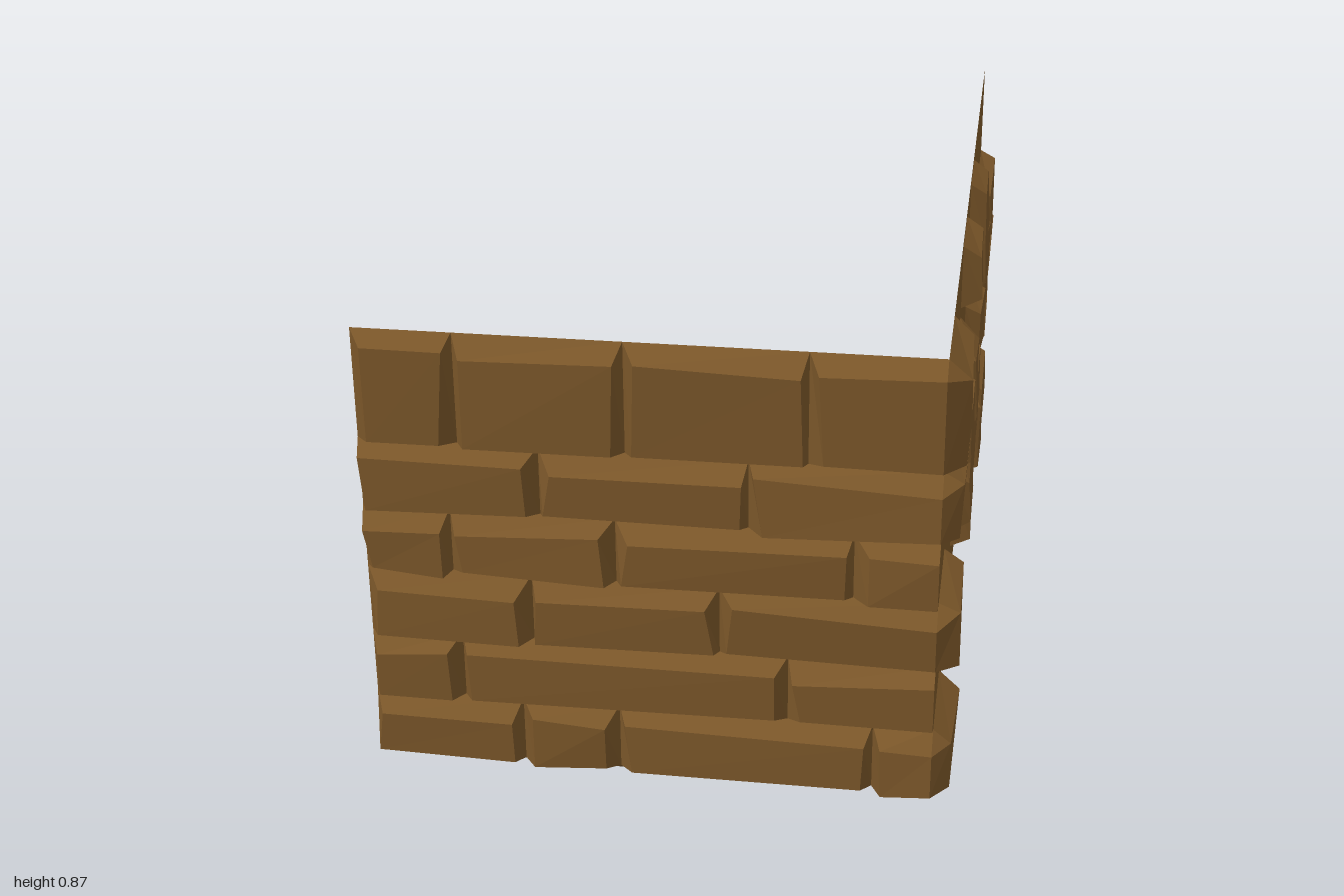
import * as THREE from 'three';

const WALL_X = 0.475, FRONT_Z = 0.95, LEFT = -0.525, TOP = 0.88;

// underside joint line of the vaulted floor: [z, y]
const ARCH = [[-0.25, 0.035], [-0.05, 0.07], [0.15, 0.093], [0.35, 0.108], [0.55, 0.108], [0.75, 0.094], [0.95, 0.066]];
const FLOOR_SPLITS = [[-0.2, 0.17], [-0.32, -0.01], [-0.22, 0.2], [-0.27, 0.07], [-0.31, -0.13, 0.31], [-0.32, 0.07]];

// front wall courses
const COURSES = [0.06, 0.185, 0.31, 0.435, 0.555, 0.68, TOP];
const FRONT_SPLITS = [[-0.255, -0.08, 0.37], [-0.36, 0.22], [-0.23, 0.1], [-0.37, -0.08, 0.33], [-0.21, 0.15], [-0.35, -0.06, 0.25]];
const QUOIN_COURSES = [0, 2, 4, 5];

// single bricks on the side wall: z front, z back, y bottom, y top
const SIDE_BRICKS = [
  [0.35, 0.16, 0.74, 0.87], [-0.05, -0.24, 0.72, 0.87], [0.75, 0.55, 0.58, 0.71], [0.55, 0.35, 0.61, 0.73],
  [0.35, 0.16, 0.49, 0.62], [0.35, 0.16, 0.36, 0.49], [0.55, 0.35, 0.36, 0.49], [0.35, 0.16, 0.23, 0.36],
  [0.15, -0.05, 0.34, 0.47], [-0.05, -0.24, 0.46, 0.6], [-0.25, -0.45, 0.56, 0.7], [-0.45, -0.65, 0.41, 0.55],
  [-0.25, -0.45, 0.15, 0.29], [-0.45, -0.65, 0.02, 0.15], [-0.65, -1, 0.54, 0.675], [-0.65, -1, 0.41, 0.54],
  [-0.65, -1, 0.275, 0.41], [-0.65, -1, 0.02, 0.15],
];

export function createModel() {
  const root = new THREE.Group();
  root.name = 'brickCorner';
  const material = new THREE.MeshStandardMaterial({ color: 0x7a5629, side: THREE.DoubleSide, flatShading: true });

  let seed = 7;
  const rand = (a, b) => {
    seed = (seed * 16807) % 2147483647;
    return a + (b - a) * (seed / 2147483647);
  };

  const quad = (out, a, b, c, d) => [a, b, c, a, c, d].forEach((p) => out.push(p.x, p.y, p.z));
  const tri = (out, a, b, c) => [a, b, c].forEach((p) => out.push(p.x, p.y, p.z));

  const addMesh = (name, out) => {
    const geometry = new THREE.BufferGeometry();
    geometry.setAttribute('position', new THREE.Float32BufferAttribute(out, 3));
    geometry.computeVertexNormals();
    const mesh = new THREE.Mesh(geometry, material);
    mesh.name = name;
    root.add(mesh);
  };

  // Open-backed brick with sloped, uneven sides. P maps (u, v, depth) to space;
  // flush lists the sides (left, right) that rise straight. Returns its corners.
  const brick = (out, P, u0, u1, v0, v1, depth, flush = '', slant = 0) => {
    const s = (side, a, b) => (flush === side ? 0 : rand(a, b));
    const base = [P(u0 - slant, v0, 0), P(u1 - slant, v0, 0), P(u1 + slant, v1, 0), P(u0 + slant, v1, 0)];
    const d = () => depth + rand(-0.005, 0.005);
    const face = [
      P(u0 + s('left', 0.01, 0.03), v0 + rand(0.004, 0.02), d()),
      P(u1 - s('right', 0.005, 0.025), v0 + rand(0.004, 0.02), d()),
      P(u1 - s('right', 0.005, 0.025), v1 - rand(0.015, 0.035), d()),
      P(u0 + s('left', 0.01, 0.03), v1 - rand(0.015, 0.035), d()),
    ];
    for (let i = 0; i < 4; i++) {
      const j = (i + 1) % 4;
      quad(out, base[i], base[j], face[j], face[i]);
    }
    quad(out, ...face);
    return { base, face };
  };

  const frontP = (u, v, d) => new THREE.Vector3(u, v, FRONT_Z + d);
  const sideP = (u, v, d) => new THREE.Vector3(WALL_X + d, v, -u);
  const archY = (z) => {
    const i = Math.max(0, Math.min(ARCH.length - 2, ARCH.findIndex((p) => p[0] > z) - 1));
    const [[z0, y0], [z1, y1]] = [ARCH[i], ARCH[i + 1]];
    return y0 + ((y1 - y0) * (z - z0)) / (z1 - z0);
  };
  const floorP = (u, v, d) => new THREE.Vector3(u, (v >= 0.95 ? 0.066 : archY(v)) - d, v);

  // front wall, with chamfered quoins turning the corner on some courses
  const front = [], quoins = [];
  FRONT_SPLITS.forEach((splits, row) => {
    const edges = [LEFT, ...splits, WALL_X];
    const [v0, v1] = [COURSES[row], COURSES[row + 1]];
    for (let i = 0; i < edges.length - 1; i++) {
      const last = i === edges.length - 2;
      const a = brick(front, frontP, edges[i], edges[i + 1], v0, v1, 0.042, last ? 'right' : '');
      if (!last || !QUOIN_COURSES.includes(row)) continue;
      const b = brick(quoins, sideP, -FRONT_Z, -0.75, v0, v1, 0.035, 'left');
      quad(quoins, a.face[1], b.face[0], b.face[3], a.face[2]);
      tri(quoins, a.base[1], b.face[0], a.face[1]);
      tri(quoins, a.base[2], a.face[2], b.face[3]);
    }
  });
  addMesh('frontWall', front);
  addMesh('cornerQuoins', quoins);

  // vaulted floor, its bricks bulging downwards
  const floor = [];
  FLOOR_SPLITS.forEach((splits, row) => {
    const edges = [LEFT, ...splits, WALL_X];
    for (let i = 0; i < edges.length - 1; i++) {
      brick(floor, floorP, edges[i], edges[i + 1], ARCH[row][0], ARCH[row + 1][0], 0.026);
    }
  });
  addMesh('vaultedFloor', floor);

  // side wall sheet, open behind each brick
  const outline = [...ARCH].reverse().map(([z, y]) => new THREE.Vector2(-z, y));
  outline.push(new THREE.Vector2(0.26, 0.02), new THREE.Vector2(1, 0.02), new THREE.Vector2(1, TOP), new THREE.Vector2(-FRONT_Z, TOP));
  const sheet = new THREE.Shape(outline);
  const bricks = [], gap = 0.003;
  for (const [zf, zb, y0, y1] of SIDE_BRICKS) {
    const [u0, u1, v0, v1] = [-zf + gap, -zb - gap, y0 + gap, y1 - gap];
    sheet.holes.push(new THREE.Path([[u0, v0], [u0, v1], [u1, v1], [u1, v0]].map((p) => new THREE.Vector2(...p))));
    brick(bricks, sideP, u0, u1, v0, v1, 0.036);
  }
  addMesh('sideWallBricks', bricks);
  const wall = new THREE.Mesh(new THREE.ShapeGeometry(sheet).rotateY(Math.PI / 2).translate(WALL_X, 0, 0), material);
  wall.name = 'sideWall';
  root.add(wall);

  return root;
}
